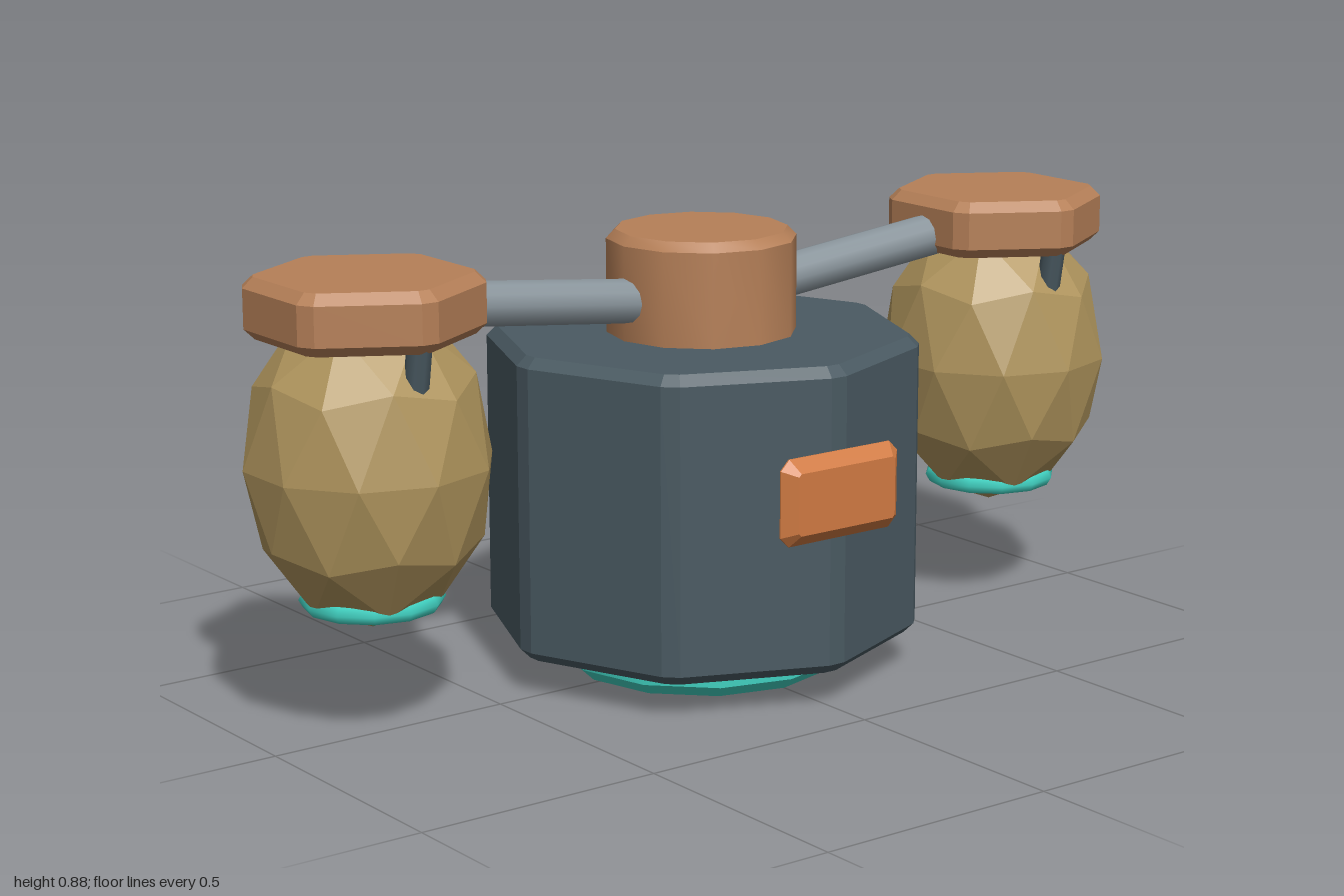
import * as THREE from 'three';
import { toCreasedNormals } from 'three/addons/utils/BufferGeometryUtils.js';

const mat = (name, color) => {
  const m = new THREE.MeshStandardMaterial({ color });
  m.name = name;
  return m;
};

// Regular polygon corners, first corner at the given angle
const ngon = (n, r, start) => Array.from({ length: n }, (_, i) => {
  const a = start + (i / n) * Math.PI * 2;
  return new THREE.Vector2(Math.cos(a) * r, Math.sin(a) * r);
});

// Extruded polygon with every edge chamfered, centred on its depth along z
function chamferedPrism(corners, depth, bevel, cut) {
  const pts = [];
  corners.forEach((p, i) => {
    const prev = corners[(i + corners.length - 1) % corners.length];
    const next = corners[(i + 1) % corners.length];
    for (const q of [prev, next]) pts.push(q.clone().sub(p).setLength(cut).add(p));
  });
  const geo = new THREE.ExtrudeGeometry(new THREE.Shape(pts), {
    depth: depth - 2 * bevel, bevelEnabled: true, bevelSegments: 1,
    bevelSize: bevel, bevelThickness: bevel, bevelOffset: -bevel,
  });
  return geo.translate(0, 0, -(depth - 2 * bevel) / 2);
}

// Chamfered disc with smooth sides
function disc(r, y0, y1, bevel, sides) {
  const profile = [[0, y0], [r - bevel, y0], [r, y0 + bevel], [r, y1 - bevel], [r - bevel, y1], [0, y1]];
  const geo = new THREE.LatheGeometry(profile.map(([x, y]) => new THREE.Vector2(x, y)), sides);
  return toCreasedNormals(geo, 0.6);
}

// Round bar between two points
function rod(a, b, r, sides) {
  const from = new THREE.Vector3(...a), to = new THREE.Vector3(...b);
  const dir = to.clone().sub(from);
  const geo = new THREE.CylinderGeometry(r, r, dir.length(), sides);
  geo.applyQuaternion(new THREE.Quaternion().setFromUnitVectors(new THREE.Vector3(0, 1, 0), dir.normalize()));
  return geo.translate(...from.add(to).multiplyScalar(0.5).toArray());
}

export function createModel() {
  const slate = mat('slate', 0x4a5a62);
  const copper = mat('copper', 0xb68058);
  const straw = mat('straw', 0xb0955d);
  straw.flatShading = true;
  const teal = mat('teal', 0x40d0c0);
  const orange = mat('orange', 0xd07a42);
  const steel = mat('steel', 0x8a959c);

  const model = new THREE.Group();
  model.name = 'podCarrier';
  const add = (parent, name, geo, material) => {
    const mesh = new THREE.Mesh(geo, material);
    mesh.name = name;
    parent.add(mesh);
    return mesh;
  };

  // Everything but the front panel shares one axis
  const core = new THREE.Group();
  core.name = 'core';
  core.position.z = -0.014;
  model.add(core);

  // Octagonal body, glowing base and top hub
  const body = chamferedPrism(ngon(8, 0.437, 0), 0.605, 0.02, 0.02);
  add(core, 'body', body.rotateX(-Math.PI / 2).translate(0, 0.3725, 0), slate);
  add(core, 'baseDisc', disc(0.292, 0, 0.075, 0.024, 12), teal);
  add(core, 'hub', disc(0.189, 0.65, 0.88, 0.018, 12), copper);

  // Front panel
  const w = 0.142, h = 0.085;
  const rect = [[-w, -h], [w, -h], [w, h], [-w, h]].map(([x, y]) => new THREE.Vector2(x, y));
  add(model, 'frontPanel', chamferedPrism(rect, 0.052, 0.0245, 0.02), orange).position.set(-0.002, 0.43, 0.419);

  for (const [side, s] of [['left', 1], ['right', -1]]) {
    add(core, side + 'Arm', rod([s * 0.1, 0.745, 0], [s * 0.66, 0.806, 0], 0.044, 12), steel);

    const pod = new THREE.Group();
    pod.name = side + 'Pod';
    pod.position.x = s * 0.774;
    core.add(pod);

    // Hexagonal cap
    const cap = chamferedPrism(ngon(6, 0.232, Math.PI / 2), 0.116, 0.02, 0.02);
    add(pod, 'cap', cap.rotateX(-Math.PI / 2).translate(0, 0.822, 0), copper);

    // Faceted egg-shaped shell with a vertex at each pole
    const shell = new THREE.IcosahedronGeometry(1, 1);
    shell.rotateX(-Math.atan((1 + Math.sqrt(5)) / 2)).rotateY(Math.PI / 2);
    shell.scale(0.237, 0.32, 0.237).translate(0, 0.525, 0);
    add(pod, 'shell', shell, straw);

    // Ring around the lower tip
    const ring = new THREE.TorusGeometry(0.12, 0.018, 6, 12).rotateX(Math.PI / 2);
    add(pod, 'tipRing', ring.translate(0, 0.262, 0), teal);

    // Clips holding the shell front and back
    for (const [end, z] of [['front', 1], ['back', -1]]) {
      add(pod, end + 'Clip', rod([0, 0.8, z * 0.187], [0, 0.62, z * 0.157], 0.024, 8), slate);
    }
  }
  return model;
}
